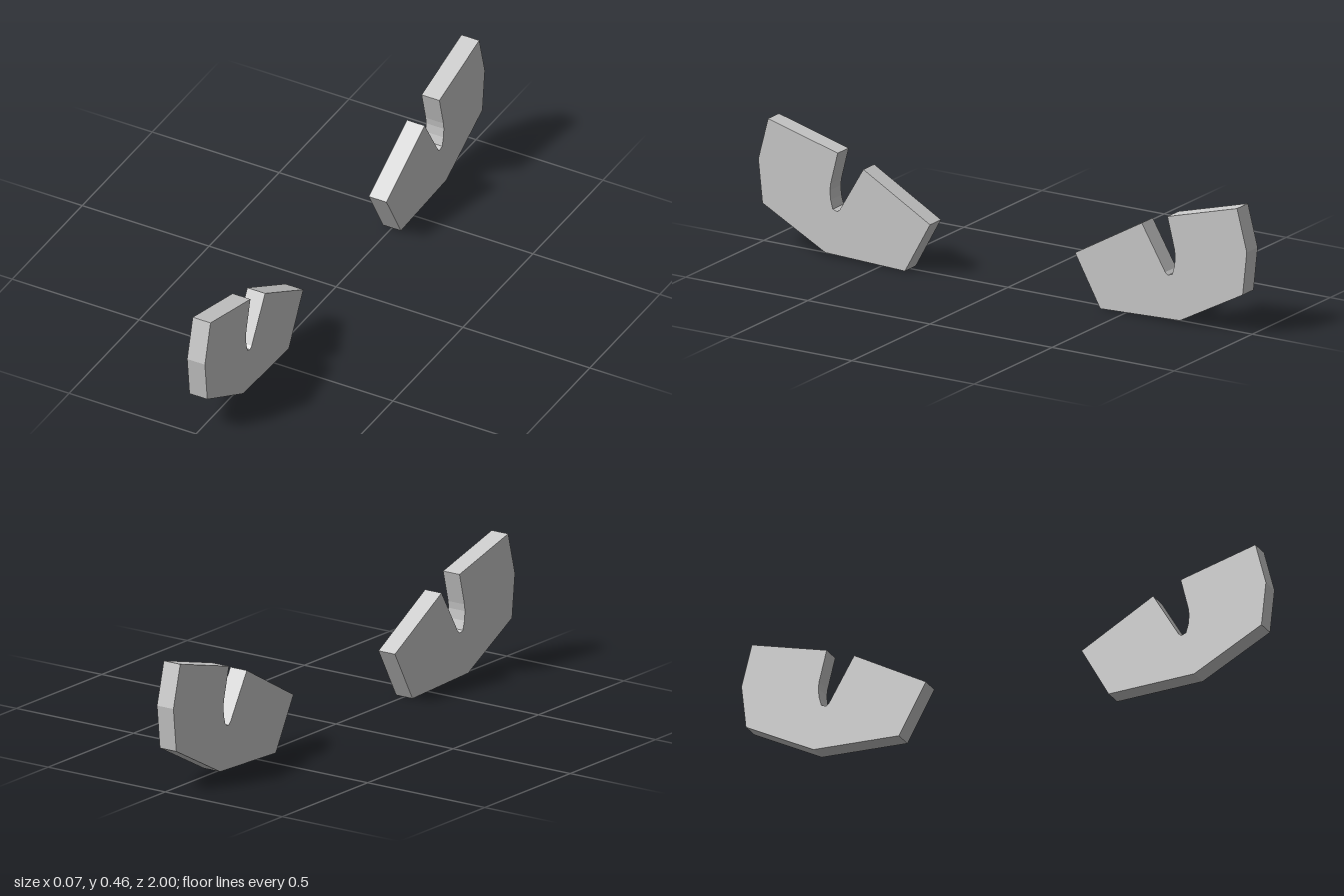
import * as THREE from 'three';

const THICKNESS = 0.07;

// Side outline of one slotted plate, as [z, y]
const OUTLINE = [
  [0.4, 0], [0.726, 0.012], [0.983, 0.148], [1, 0.305], [0.96, 0.457], // outer edge
  [0.675, 0.38], [0.704, 0.265], [0.707, 0.24], [0.704, 0.206],          // slot, outer side
  [0.695, 0.174], [0.677, 0.168], [0.666, 0.177],                        // slot floor
  [0.57, 0.339], [0.297, 0.185],                                       // inner flap
];

function plate(name, turn) {
  const shape = new THREE.Shape(OUTLINE.map(([z, y]) => new THREE.Vector2(z, y)));
  const geometry = new THREE.ExtrudeGeometry(shape, { depth: THICKNESS, bevelEnabled: false });
  geometry.translate(0, 0, -THICKNESS / 2);
  geometry.rotateY(-Math.PI / 2); // lay the outline in the z-y plane
  const material = new THREE.MeshStandardMaterial({ color: 0xcccccc, flatShading: true });
  const mesh = new THREE.Mesh(geometry, material);
  mesh.name = name;
  mesh.rotation.y = turn;
  return mesh;
}

export function createModel() {
  const group = new THREE.Group();
  group.name = 'slottedPlates';
  // Two identical plates facing each other
  group.add(plate('frontPlate', 0), plate('backPlate', Math.PI));
  return group;
}
